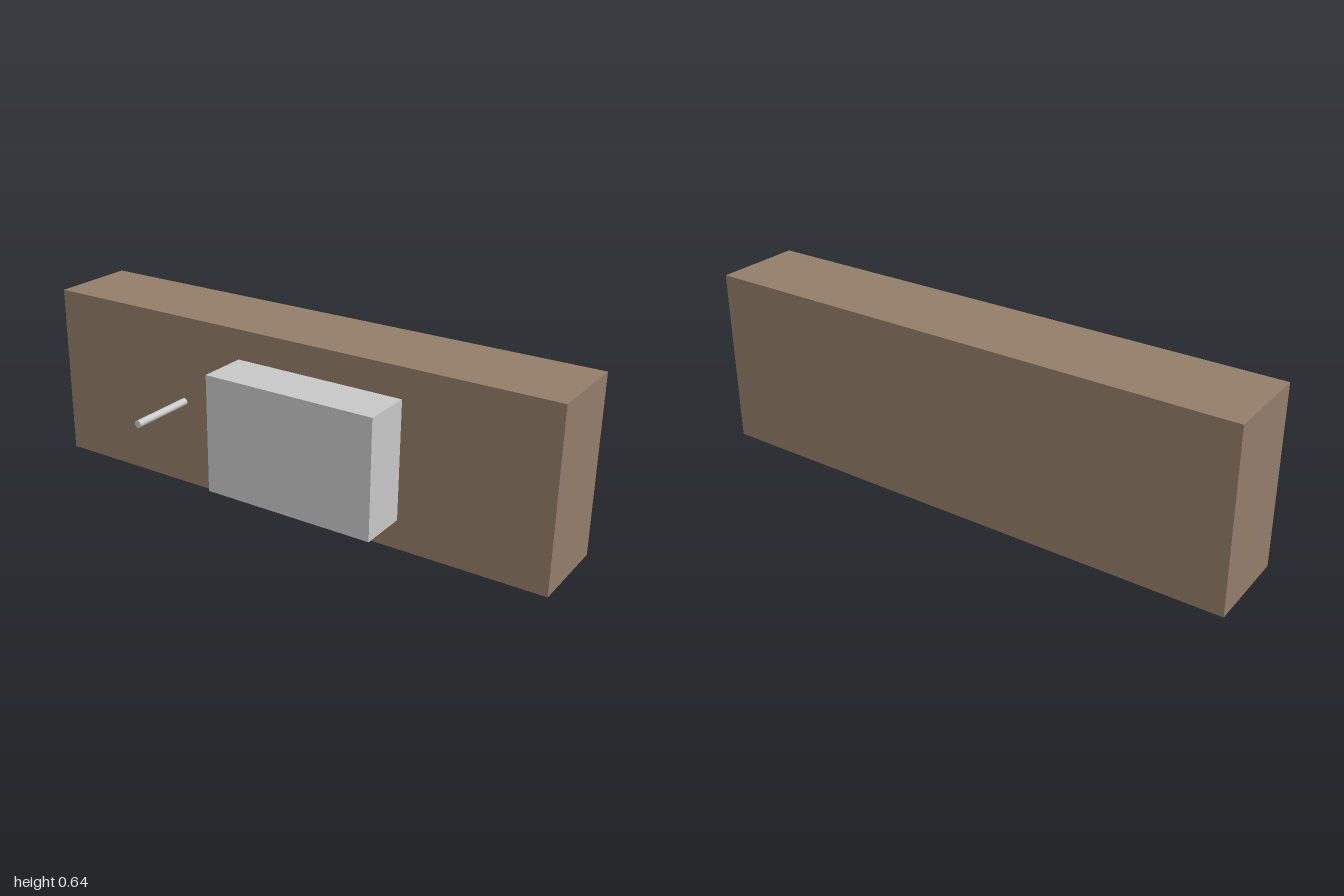
import * as THREE from 'three';

export function createModel() {
  const model = new THREE.Group();
  const brown = new THREE.MeshStandardMaterial({ color: 0x977f6b });
  const grey = new THREE.MeshStandardMaterial({ color: 0xcccccc });
  const frontZ = 0.034; // front face of the body

  const add = (name, geometry, material, x, y, z) => {
    const mesh = new THREE.Mesh(geometry, material);
    mesh.name = name;
    mesh.position.set(x, y, z);
    model.add(mesh);
  };

  // Long rectangular body
  add('body', new THREE.BoxGeometry(2, 0.645, 0.322), brown, 0, 0.3225, frontZ - 0.161);

  // Raised block on the front face
  add('frontBlock', new THREE.BoxGeometry(0.643, 0.429, 0.182), grey, 0.14, 0.3215, frontZ + 0.091);

  // Thin rod pointing forward
  const rod = new THREE.CylinderGeometry(0.0135, 0.0135, 0.254, 32).rotateX(Math.PI / 2);
  add('rod', rod, grey, -0.43, 0.3225, frontZ + 0.127);

  return model;
}
